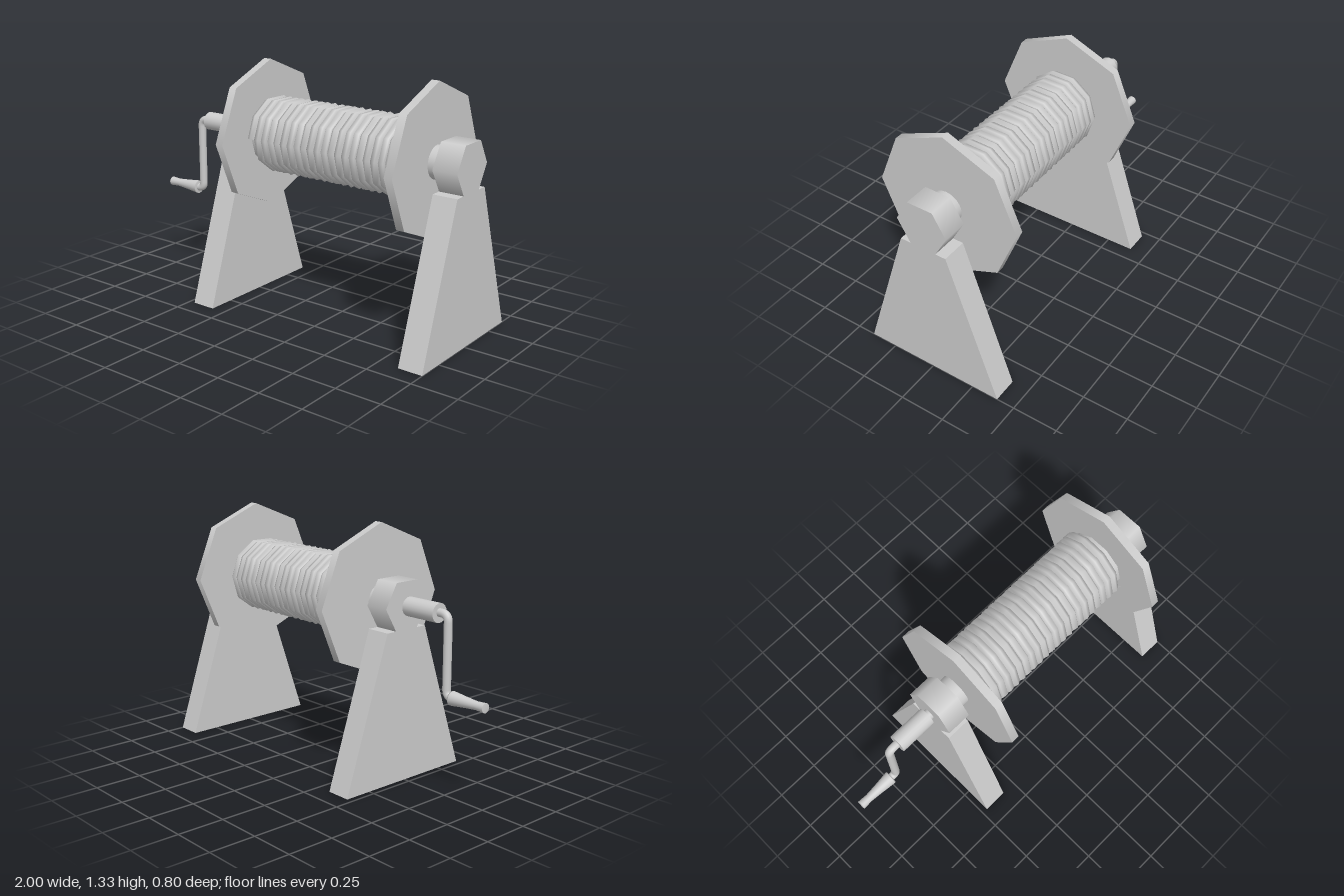
import * as THREE from 'three';

const AXIS_Y = 0.927;

// Evenly wound coil along x, ten points to a turn
class Coil extends THREE.Curve {
  constructor(x0, x1, radius, turns) {
    super();
    Object.assign(this, { x0, x1, radius, turns });
  }
  getPoint(t, target = new THREE.Vector3()) {
    const a = t * this.turns * Math.PI * 2;
    return target.set(
      this.x0 + (this.x1 - this.x0) * t,
      AXIS_Y + Math.sin(a) * this.radius,
      Math.cos(a) * this.radius
    );
  }
  getPointAt(t, target) { return this.getPoint(t, target); }
}

export function createModel() {
  const group = new THREE.Group();
  const grey = new THREE.MeshStandardMaterial({ color: 0xcccccc });
  grey.name = 'light grey';

  const add = (name, geometry) => {
    const mesh = new THREE.Mesh(geometry, grey);
    mesh.name = name;
    group.add(mesh);
    return mesh;
  };
  // Cylinder lying along x on the winch axis
  const barrel = (name, x0, x1, radius, sides) => {
    const g = new THREE.CylinderGeometry(radius, radius, x1 - x0, sides);
    g.rotateZ(-Math.PI / 2);
    return add(name, g.translate((x0 + x1) / 2, AXIS_Y, 0));
  };

  // Tapered legs with hexagonal bearings
  const legShape = new THREE.Shape([
    new THREE.Vector2(-0.4, 0), new THREE.Vector2(0.4, 0),
    new THREE.Vector2(0.132, 0.805), new THREE.Vector2(-0.132, 0.805)
  ]);
  for (const [side, x0, x1] of [['right', -0.467, -0.332], ['left', 0.865, 1]]) {
    const leg = new THREE.ExtrudeGeometry(legShape, { depth: x1 - x0, bevelEnabled: false });
    leg.rotateY(Math.PI / 2);
    add(side + 'Leg', leg.translate(x0, 0, 0));
    barrel(side + 'Bearing', x0, x1, 0.144, 6);
  }

  // Axle and the octagonal drum flanges
  barrel('axle', -0.4, 0.93, 0.087, 24);
  barrel('rightFlange', -0.28, -0.235, 0.4, 8);
  barrel('leftFlange', 0.76, 0.805, 0.4, 8);

  // Drum core and wound rope
  barrel('drumCore', -0.24, 0.765, 0.17, 10);
  const turns = 22;
  add('rope', new THREE.TubeGeometry(
    new Coil(-0.213, 0.74, 0.18, turns), turns * 10, 0.028, 6));

  // Crank shaft and hub
  barrel('crankShaft', -0.5, -0.45, 0.03, 16);
  barrel('crankHub', -0.69, -0.485, 0.05, 20);

  // Bent crank arm
  const v = (x, y) => new THREE.Vector3(x, y, 0);
  const path = new THREE.CurvePath();
  path.add(new THREE.LineCurve3(v(-0.68, 0.93), v(-0.708, 0.93)));
  path.add(new THREE.QuadraticBezierCurve3(v(-0.708, 0.93), v(-0.748, 0.93), v(-0.748, 0.89)));
  path.add(new THREE.LineCurve3(v(-0.748, 0.89), v(-0.748, 0.555)));
  path.add(new THREE.QuadraticBezierCurve3(v(-0.748, 0.555), v(-0.748, 0.518), v(-0.785, 0.518)));
  path.add(new THREE.LineCurve3(v(-0.785, 0.518), v(-0.8, 0.518)));
  add('crankArm', new THREE.TubeGeometry(path, 60, 0.022, 12));

  // Flared hand grip
  const profile = [
    [0, 0], [0.037, 0], [0.037, 0.006], [0.027, 0.1], [0.022, 0.16], [0.025, 0.212], [0.025, 0.215], [0, 0.215]
  ].map(([r, h]) => new THREE.Vector2(r, h));
  const grip = new THREE.LatheGeometry(profile, 20);
  grip.rotateZ(Math.PI / 2);
  add('handGrip', grip.translate(-0.785, 0.518, 0));

  return group;
}
